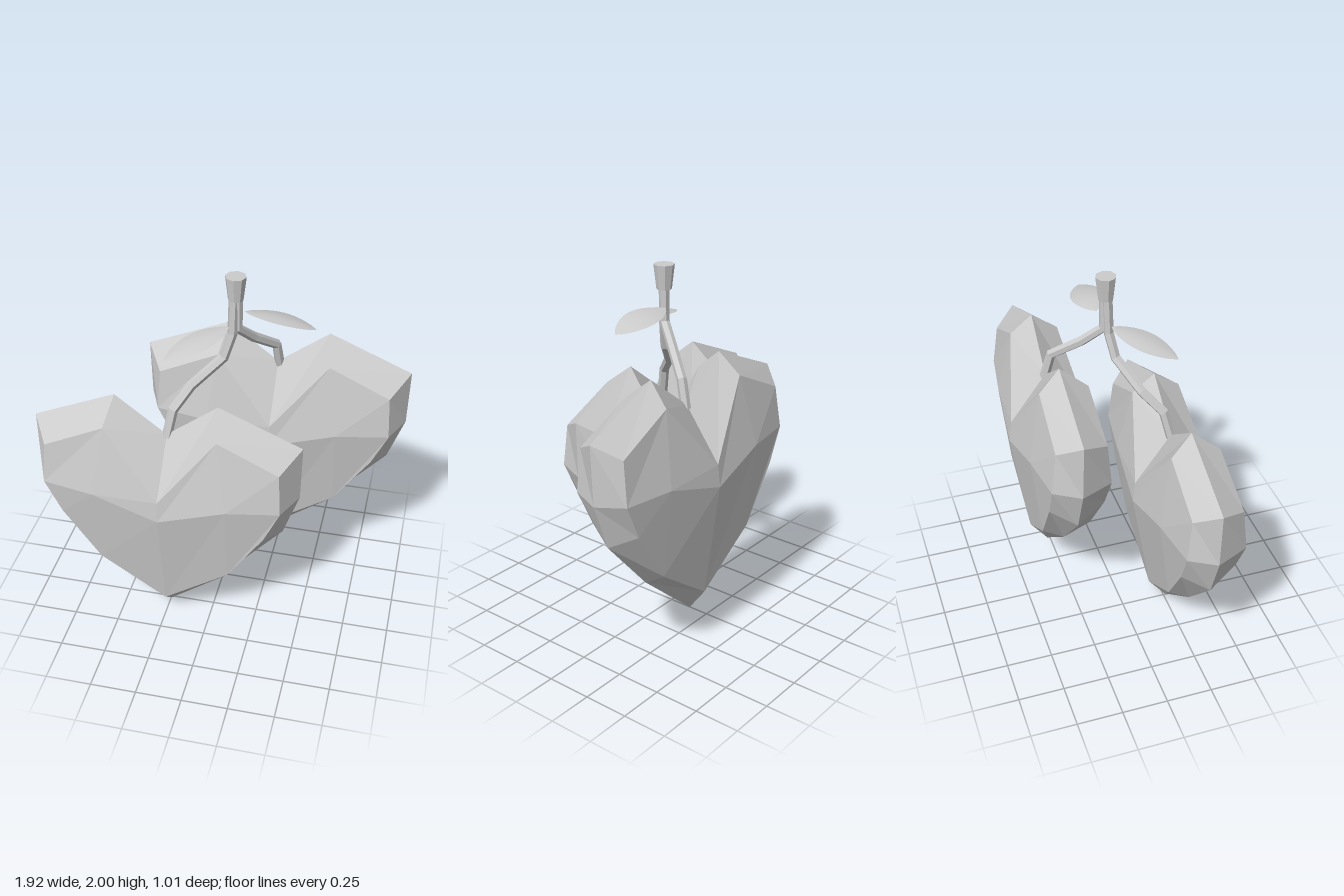
import * as THREE from 'three';

const material = new THREE.MeshStandardMaterial({ color: 0xcccccc, flatShading: true });
const leafMaterial = new THREE.MeshStandardMaterial({ color: 0xcccccc, side: THREE.DoubleSide });

function addMesh(parent, name, geometry, mat = material) {
  const mesh = new THREE.Mesh(geometry, mat);
  mesh.name = name;
  parent.add(mesh);
  return mesh;
}

// Half outline from notch to tip: the outer rim [x, y] and the
// bevelled face edge [x, y, front depth, back depth].
const rim = [[0, 1.17], [0.275, 1.38], [0.72, 1.19], [0.715, 0.875], [0.63, 0.625], [0.36, 0.315], [0, 0]];
const edge = [
  [0, 0.89, 0.235, 0.195], [0.3, 1.263, 0.15, 0.113], [0.625, 1.11, 0.153, 0.118], [0.64, 0.88, 0.175, 0.142],
  [0.555, 0.69, 0.168, 0.135], [0.358, 0.387, 0.152, 0.12], [0, 0.13, 0.135, 0.1],
];
const middle = [0.358, 0.875, 0.222, 0.182];
const centre = [0, 0.77, 0.245, 0.207];

// Faceted heart: one quarter is described and mirrored left-right and front-back.
function heartGeometry() {
  const positions = [];
  for (const sx of [1, -1]) {
    for (const sz of [1, -1]) {
      const quad = (...corners) => {
        const p = corners.map(([x, y, front = 0, back = 0]) => [sx * x, y, sz > 0 ? front : -back]);
        if (sx * sz < 0) p.reverse();
        for (const i of [0, 1, 2, 0, 2, 3]) positions.push(...p[i]);
      };
      // Bevel between the rim and the face
      for (let i = 0; i < rim.length - 1; i++) quad(edge[i], edge[i + 1], rim[i + 1], rim[i]);
      // Four facets of the domed face
      const [notch, lobe, corner, side, low, lower, tip] = edge;
      quad(centre, middle, lobe, notch);
      quad(middle, side, corner, lobe);
      quad(tip, lower, middle, centre);
      quad(lower, low, side, middle);
    }
  }
  const geometry = new THREE.BufferGeometry();
  geometry.setAttribute('position', new THREE.Float32BufferAttribute(positions, 3));
  geometry.computeVertexNormals();
  return geometry;
}

// Stalk with straight segments between its points
function stalkGeometry(points) {
  const curve = new THREE.CatmullRomCurve3(points.map((p) => new THREE.Vector3(...p)), false, 'catmullrom', 0.5);
  curve.getPointAt = curve.getPoint;
  curve.getTangentAt = curve.getTangent;
  return new THREE.TubeGeometry(curve, points.length - 1, 0.027, 6, false);
}

// Thin arched leaf between base and tip, lightly folded on its midrib
function leafGeometry(base, tip, width, arch, roll) {
  const a = new THREE.Vector3(...base);
  const along = new THREE.Vector3(...tip).sub(a);
  const across = new THREE.Vector3(0, 1, 0).cross(along).normalize();
  const geometry = new THREE.PlaneGeometry(1, 1, 4, 12);
  const pos = geometry.attributes.position;
  for (let i = 0; i < pos.count; i++) {
    const u = pos.getX(i) * 2;
    const t = pos.getY(i) + 0.5;
    const half = (width / 2) * Math.pow(Math.sin(Math.PI * t), 0.75);
    const p = a.clone().addScaledVector(along, t).addScaledVector(across, u * half);
    p.y += arch * Math.sin(Math.PI * t) + u * half * roll - 0.012 * u * u * Math.sin(Math.PI * t);
    pos.setXYZ(i, p.x, p.y, p.z);
  }
  geometry.computeVertexNormals();
  return geometry;
}

export function createModel() {
  const model = new THREE.Group();
  model.name = 'heartFruitPair';

  // Two hearts, the rear one higher and leaning slightly
  const heart = heartGeometry();
  addMesh(model, 'frontHeart', heart).position.set(-0.243, 0.005, 0.26);
  const rear = addMesh(model, 'rearHeart', heart);
  rear.position.set(0.24, 0.19, -0.315);
  rear.rotation.x = 0.025;

  // Stem top
  addMesh(model, 'stemTop', new THREE.CylinderGeometry(0.055, 0.04, 0.13, 8)).position.set(0.063, 1.935, 0);

  // Stalks running down into the notches
  addMesh(model, 'frontStalk', stalkGeometry([
    [0.055, 1.88, 0.005], [0.05, 1.68, 0.01], [0.01, 1.545, 0.035],
    [-0.14, 1.41, 0.13], [-0.215, 1.31, 0.225], [-0.243, 1.16, 0.26],
  ]));
  addMesh(model, 'rearStalk', stalkGeometry([
    [0.072, 1.88, -0.005], [0.072, 1.7, -0.01], [0.135, 1.6, -0.11], [0.235, 1.485, -0.25], [0.25, 1.34, -0.288],
  ]));

  // Leaves
  addMesh(model, 'frontLeaf', leafGeometry([0.035, 1.72, 0.02], [-0.24, 1.64, 0.285], 0.17, 0.02, 0), leafMaterial);
  addMesh(model, 'sideLeaf', leafGeometry([0.1, 1.785, -0.04], [0.475, 1.733, -0.025], 0.17, 0.025, -0.17), leafMaterial);
  return model;
}
